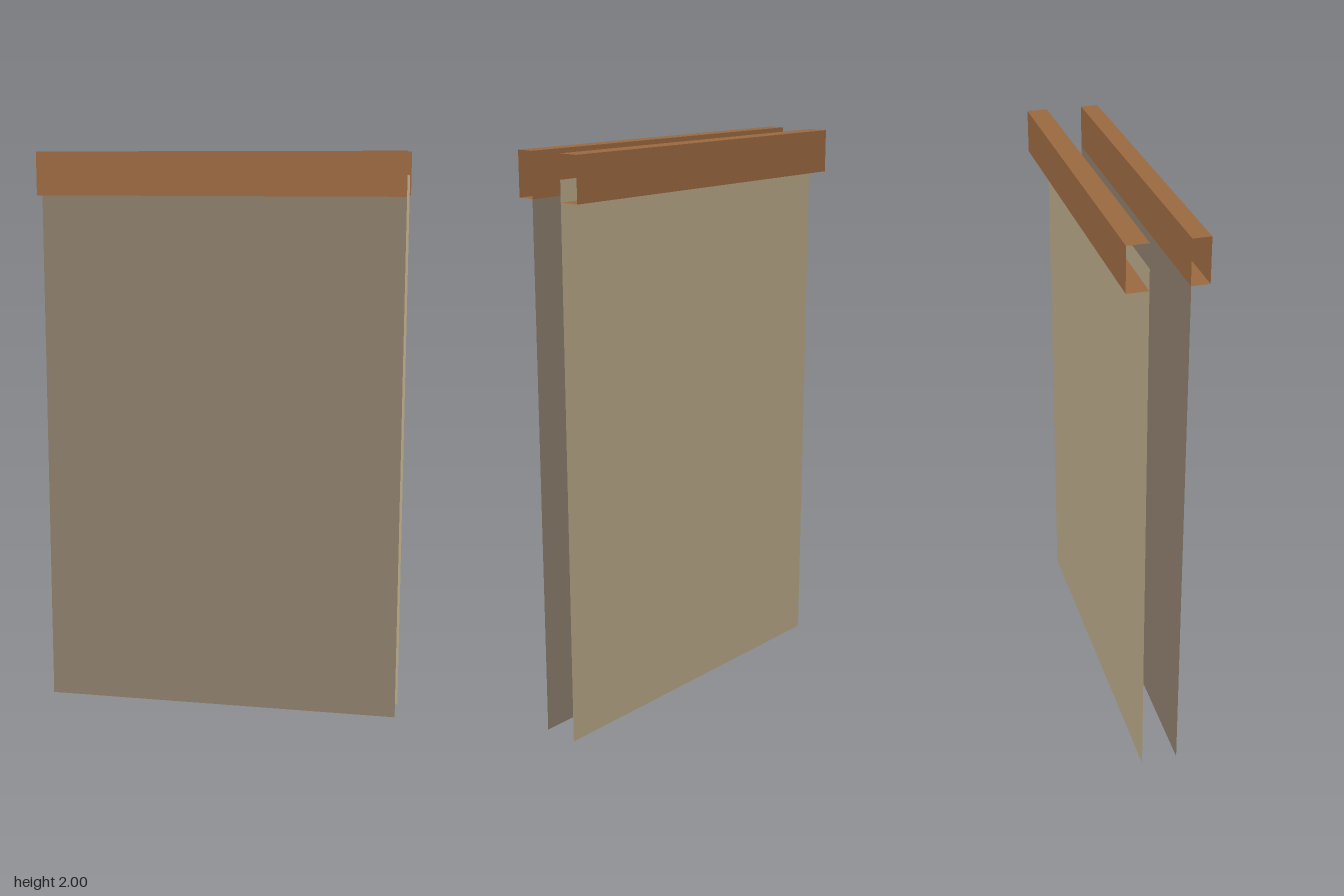
import * as THREE from 'three';

const W = 1.28, TOP = 2, RAIL_BOTTOM = 1.85;

const flat = (name, color) => {
  const m = new THREE.MeshStandardMaterial({ color, side: THREE.DoubleSide });
  m.name = name;
  return m;
};

export function createModel() {
  const group = new THREE.Group();
  const wood = flat('wood brown', 0x9b6941);
  const frontCloth = flat('dark taupe', 0x8b7d6b);
  const backCloth = flat('light khaki', 0xb8a888);

  // Upright sheet facing +z (or -z when turned)
  const upright = (name, mat, y0, y1, z, turned, parent = group) => {
    const mesh = new THREE.Mesh(new THREE.PlaneGeometry(W, y1 - y0), mat);
    mesh.position.set(0, (y0 + y1) / 2, z);
    if (turned) mesh.rotation.y = Math.PI;
    mesh.name = name;
    parent.add(mesh);
  };

  // Level sheet facing up (or down)
  const level = (name, y, z0, z1, down, parent) => {
    const mesh = new THREE.Mesh(new THREE.PlaneGeometry(W, Math.abs(z1 - z0)), wood);
    mesh.position.set(0, y, (z0 + z1) / 2);
    mesh.rotation.x = down ? Math.PI / 2 : -Math.PI / 2;
    mesh.name = name;
    parent.add(mesh);
  };

  // Rail of thin boards with open ends; the inner board is optional
  const rail = (name, outer, inner, closed) => {
    const g = new THREE.Group();
    g.name = name;
    upright('outerBoard', wood, RAIL_BOTTOM, TOP, outer, outer < 0, g);
    if (closed) upright('innerBoard', wood, RAIL_BOTTOM, TOP, inner, outer > 0, g);
    level('topBoard', TOP, outer, inner, false, g);
    level('bottomBoard', RAIL_BOTTOM, outer, inner, true, g);
    group.add(g);
  };

  rail('frontRail', 0.13, 0.069, true);
  rail('backRail', -0.13, -0.058, false);

  // Hanging sheets; the back one reaches up into its open rail
  upright('frontPanel', frontCloth, 0, RAIL_BOTTOM, 0.07, false);
  upright('backPanel', backCloth, 0, 1.92, -0.058, true);

  return group;
}
